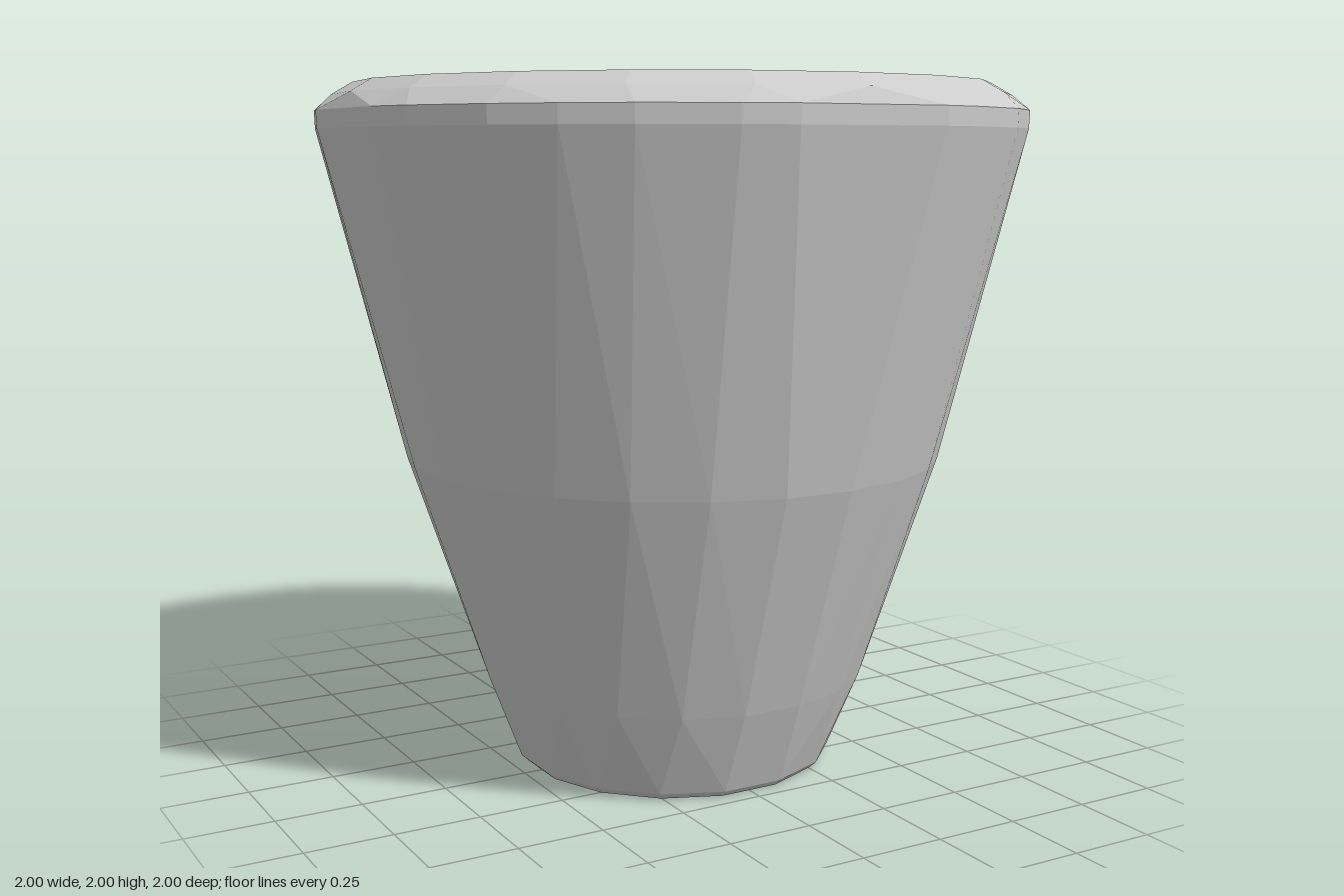
import * as THREE from 'three';
import { ConvexGeometry } from 'three/addons/geometries/ConvexGeometry.js';

// Points of a horizontal ring at the given angles (degrees)
const ring = (y, radius, angles) => angles.map((deg) => {
  const a = THREE.MathUtils.degToRad(deg);
  return new THREE.Vector3(radius * Math.cos(a), y, radius * Math.sin(a));
});

const regular = (n, offset = 0) => Array.from({ length: n }, (_, i) => offset + (i * 360) / n);

export function createModel() {
  const group = new THREE.Group();
  group.name = 'taperedPlug';

  // The widest rim has a flat facet facing each axis
  const rimAngles = [0, 90, 180, 270].flatMap((quarter) =>
    [12.4, 20.5, 34.6, 45, 55.4, 69.5, 77.6].map((a) => quarter + a));

  // Faceted convex body: small base, bulging sides, rounded rim, flat top
  const points = [
    ...ring(0, 0.453, regular(16, 11.25)),
    ...ring(0.02, 0.475, regular(16, 11.25)),
    ...ring(0.27, 0.572, regular(20, 9)),
    ...ring(0.92, 0.787, regular(24, 7.5)),
    ...ring(1.87, 1.022, rimAngles),
    ...ring(1.92, 1.0235, rimAngles),
    ...ring(1.965, 0.975, regular(20)),
    ...ring(2, 0.915, regular(20)),
  ];
  const material = new THREE.MeshStandardMaterial({ color: 0xcccccc, flatShading: true });
  const body = new THREE.Mesh(new ConvexGeometry(points), material);
  body.name = 'body';
  group.add(body);
  return group;
}
